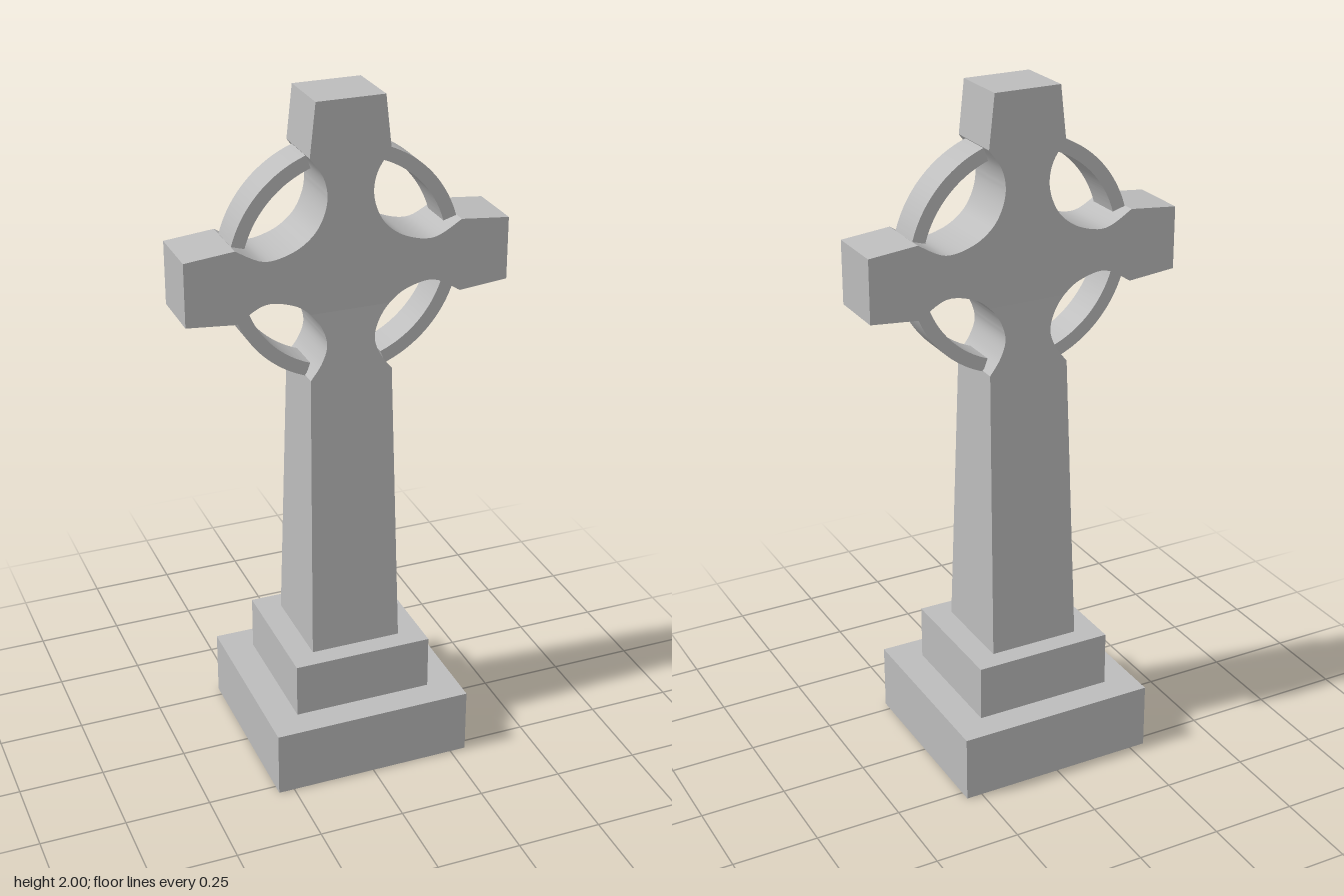
import * as THREE from 'three';
import { toCreasedNormals } from 'three/addons/utils/BufferGeometryUtils.js';

const stone = new THREE.MeshStandardMaterial({ color: 0xbcbcbc, side: THREE.DoubleSide });
stone.name = 'stone';

const HEAD_DEPTH = 0.088; // half depth of the cross head
const FOOT_DEPTH = 0.137; // half depth of the shaft at its foot
const SPLIT_Y = 1.41; // the head is straight above this, the shaft tapers below
const FOOT_Y = 0.36;

const v = (x, y) => new THREE.Vector2(x, y);
const spline = (pts) => new THREE.SplineCurve(pts.map(([x, y]) => v(x, y))).getPoints((pts.length - 1) * 6);

function mesh(name, geometry) {
  const m = new THREE.Mesh(geometry, stone);
  m.name = name;
  return m;
}

// Extrude a shape to both sides of z = 0
function slab(shape, halfDepth) {
  const g = new THREE.ExtrudeGeometry(shape, { depth: 2 * halfDepth, bevelEnabled: false, curveSegments: 24 });
  return g.translate(0, 0, -halfDepth);
}

// Closed outline from its right half, listed from bottom to top
function mirroredShape(right) {
  const left = right.map((p) => v(-p.x, p.y)).reverse();
  return new THREE.Shape([...right, ...left]);
}

// Plinth step: a box without its bottom
function step(name, w, h, d, y) {
  const g = new THREE.BoxGeometry(w, h, d);
  const index = Array.from(g.index.array);
  index.splice(18, 6);
  g.setIndex(index);
  g.clearGroups();
  g.translate(0, y + h / 2, 0);
  return mesh(name, g);
}

export function createModel() {
  const model = new THREE.Group();
  model.name = 'ringedCross';

  // Plinth
  model.add(step('lowerStep', 0.594, 0.197, 0.564, 0));
  model.add(step('upperStep', 0.414, 0.163, 0.394, 0.197));

  // Hollows between the arms, right side
  const lower = spline([
    [0.12, 1.217], [0.087, 1.262], [0.07, 1.313], [0.083, 1.365],
    [0.115, SPLIT_Y], [0.165, 1.445], [0.245, 1.459], [0.325, 1.415],
  ]);
  const upper = spline([
    [0.325, 1.624], [0.245, 1.583], [0.165, 1.597], [0.108, 1.635],
    [0.077, 1.685], [0.066, 1.74], [0.078, 1.795], [0.115, 1.85],
  ]);

  // Cross head
  const head = mirroredShape([
    ...lower.slice(24), v(0.467, 1.428), v(0.467, 1.61), ...upper, v(0.098, 2),
  ]);
  model.add(mesh('crossHead', toCreasedNormals(slab(head, HEAD_DEPTH), 0.6)));

  // Shaft, deeper towards the foot
  const shaft = slab(mirroredShape([v(0.135, FOOT_Y), ...lower.slice(0, 25)]), 1);
  const pos = shaft.attributes.position;
  for (let i = 0; i < pos.count; i++) {
    const t = (pos.getY(i) - FOOT_Y) / (SPLIT_Y - FOOT_Y);
    pos.setZ(i, Math.sign(pos.getZ(i)) * THREE.MathUtils.lerp(FOOT_DEPTH, HEAD_DEPTH, t));
  }
  model.add(mesh('shaft', toCreasedNormals(shaft, 0.6)));

  // Four ring segments between the arms
  const deg = Math.PI / 180;
  [[16, 70.5], [109.5, 164], [198, 249.5], [290.5, 342]].forEach(([a, b], i) => {
    const arc = new THREE.Shape();
    arc.absarc(0, 0, 0.337, a * deg, b * deg, false);
    arc.absarc(0, 0, 0.298, b * deg, a * deg, true);
    const g = toCreasedNormals(slab(arc, 0.052), 0.6);
    const part = mesh('ringSegment' + (i + 1), g);
    part.position.y = 1.53;
    model.add(part);
  });

  return model;
}
